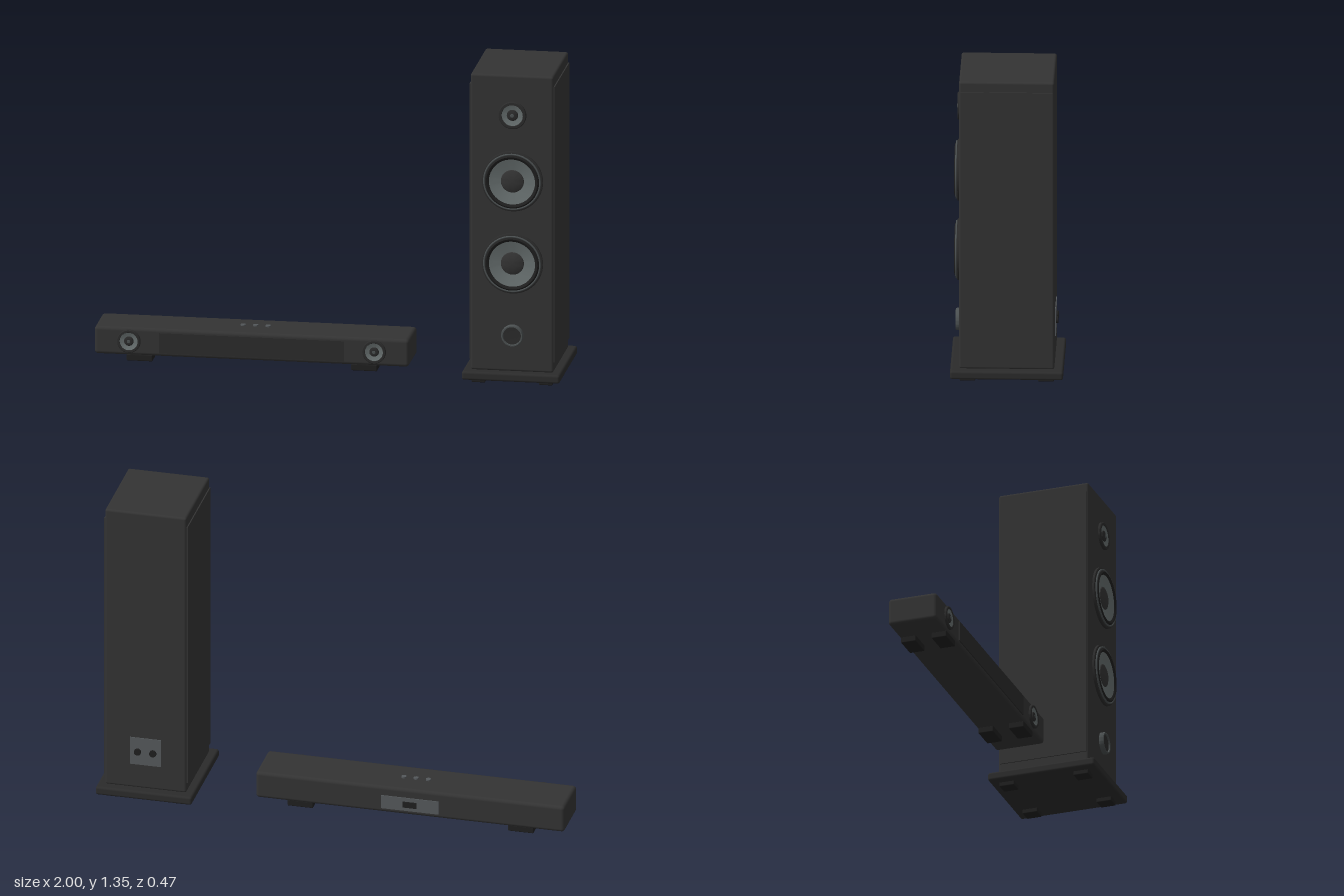
import * as THREE from 'three';
import { RoundedBoxGeometry } from 'three/addons/geometries/RoundedBoxGeometry.js';
import { toCreasedNormals } from 'three/addons/utils/BufferGeometryUtils.js';

const mat = (name, color) => {
  const m = new THREE.MeshStandardMaterial({ color });
  m.name = name;
  return m;
};

export function createModel() {
  const cabinetMat = mat('charcoal cabinet', 0x333333);
  const trimMat = mat('dark trim', 0x2b2b2b);
  const rubberMat = mat('black rubber', 0x1f1f1f);
  const ringMat = mat('steel ring', 0x4a4f50);
  const coneMat = mat('grey cone', 0x666e6e);
  const plateMat = mat('terminal grey', 0x54585b);

  const add = (parent, name, geometry, material, x = 0, y = 0, z = 0) => {
    const mesh = new THREE.Mesh(geometry, material);
    mesh.name = name;
    mesh.position.set(x, y, z);
    parent.add(mesh);
    return mesh;
  };
  const box = (parent, name, size, pos, material, r = 0) => add(parent, name,
    r ? new RoundedBoxGeometry(...size, 3, r) : new THREE.BoxGeometry(...size), material, ...pos);
  // Turned part whose axis points to +z; profile pairs are [radius, depth]
  const turned = (profile) => toCreasedNormals(new THREE.LatheGeometry(
    profile.map(([r, d]) => new THREE.Vector2(r, d)), 48).rotateX(Math.PI / 2), 0.6);
  const group = (parent, name, x = 0, y = 0, z = 0) => {
    const g = new THREE.Group();
    g.name = name;
    g.position.set(x, y, z);
    parent.add(g);
    return g;
  };

  // Large cone driver: flange, bright ring, rubber surround, cone and dust cap
  const woofer = (parent, name, y) => {
    const g = group(parent, name, 0.005, y, 0.2);
    add(g, 'flange', turned([[0.13, 0], [0.13, 0.009], [0.124, 0.012], [0.1, 0.012]]), trimMat);
    add(g, 'trimRing', new THREE.TorusGeometry(0.119, 0.004, 10, 48), ringMat, 0, 0, 0.015);
    add(g, 'surround', turned([[0.116, 0.01], [0.115, 0.018], [0.109, 0.023], [0.102, 0.02], [0.096, 0.013]]), rubberMat);
    add(g, 'cone', turned([[0.098, 0.016], [0.075, 0.01], [0.046, 0.004]]), coneMat);
    add(g, 'dustCap', turned([[0.05, 0.003], [0.047, 0.008], [0.035, 0.013], [0.018, 0.016], [0, 0.017]]), cabinetMat);
  };

  // Small driver: rim, grey waveguide and dome
  const tweeter = (parent, name, x, y, z, r) => {
    const g = group(parent, name, x, y, z);
    add(g, 'rim', turned([[r, 0], [r, 0.008], [r * 0.95, 0.011], [r * 0.78, 0.011], [r * 0.74, 0.007]]), trimMat);
    add(g, 'waveguide', turned([[r * 0.76, 0.009], [r * 0.6, 0.006], [r * 0.36, 0.003]]), coneMat);
    add(g, 'dome', turned([[r * 0.42, 0.002], [r * 0.38, 0.008], [r * 0.2, 0.012], [0, 0.013]]), trimMat);
    add(g, 'domeTip', turned([[r * 0.17, 0.011], [r * 0.12, 0.0135], [0, 0.014]]), ringMat);
  };

  const model = new THREE.Group();
  model.name = 'speakerSet';

  // Floor-standing tower
  const tower = group(model, 'towerSpeaker', 0.787, 0, 0);
  box(tower, 'cabinet', [0.352, 1.29, 0.4], [0.002, 0.7, 0], cabinetMat, 0.01);
  for (const s of [-1, 1]) {
    box(tower, 'sidePanel', [0.006, 1.2, 0.385], [0.002 + s * 0.178, 0.7, 0], cabinetMat);
  }
  box(tower, 'plinth', [0.416, 0.037, 0.475], [0.002, 0.037, 0], trimMat, 0.01);
  for (const sx of [-1, 1]) for (const sz of [-1, 1]) {
    box(tower, 'foot', [0.058, 0.022, 0.066], [0.002 + sx * 0.143, 0.011, sz * 0.165], rubberMat, 0.004);
  }
  tweeter(tower, 'tweeter', 0.005, 1.172, 0.2, 0.059);
  woofer(tower, 'upperWoofer', 0.885);
  woofer(tower, 'lowerWoofer', 0.527);

  // Bass port
  const port = group(tower, 'bassPort', 0.005, 0.213, 0.2);
  add(port, 'portRim', turned([[0.047, 0], [0.047, 0.013], [0.044, 0.019], [0.039, 0.019], [0.037, 0.012]]), ringMat);
  add(port, 'portMouth', turned([[0.039, 0.013], [0.02, 0.012], [0, 0.012]]), trimMat);

  // Rear terminals
  box(tower, 'terminalPlate', [0.135, 0.125, 0.007], [0.002, 0.228, -0.2], plateMat);
  for (const s of [-1, 1]) {
    add(tower, 'bindingPost', new THREE.CylinderGeometry(0.015, 0.015, 0.014, 24).rotateX(Math.PI / 2),
      rubberMat, 0.002 + s * 0.033, 0.226, -0.205);
  }

  // Soundbar
  const bar = group(model, 'soundbar', -0.332, 0, 0);
  box(bar, 'barBody', [1.336, 0.12, 0.216], [0, 0.085, -0.002], cabinetMat, 0.015);
  box(bar, 'frontGrille', [0.786, 0.088, 0.008], [0, 0.084, 0.107], trimMat);
  for (const sx of [-1, 1]) {
    tweeter(bar, 'barDriver', sx * 0.521, 0.087, 0.105, 0.05);
    for (const sz of [-1, 1]) {
      box(bar, 'barFoot', [0.11, 0.028, 0.066], [sx * 0.477, 0.014, sz * 0.068], rubberMat, 0.004);
    }
  }
  for (const i of [-1, 0, 1]) {
    add(bar, 'button', new THREE.CylinderGeometry(0.011, 0.011, 0.008, 24), plateMat, i * 0.053, 0.147, -0.004);
  }
  box(bar, 'connectorPlate', [0.25, 0.06, 0.006], [0, 0.075, -0.111], plateMat);
  box(bar, 'connectorSocket', [0.06, 0.026, 0.01], [0, 0.075, -0.114], rubberMat);

  return model;
}
